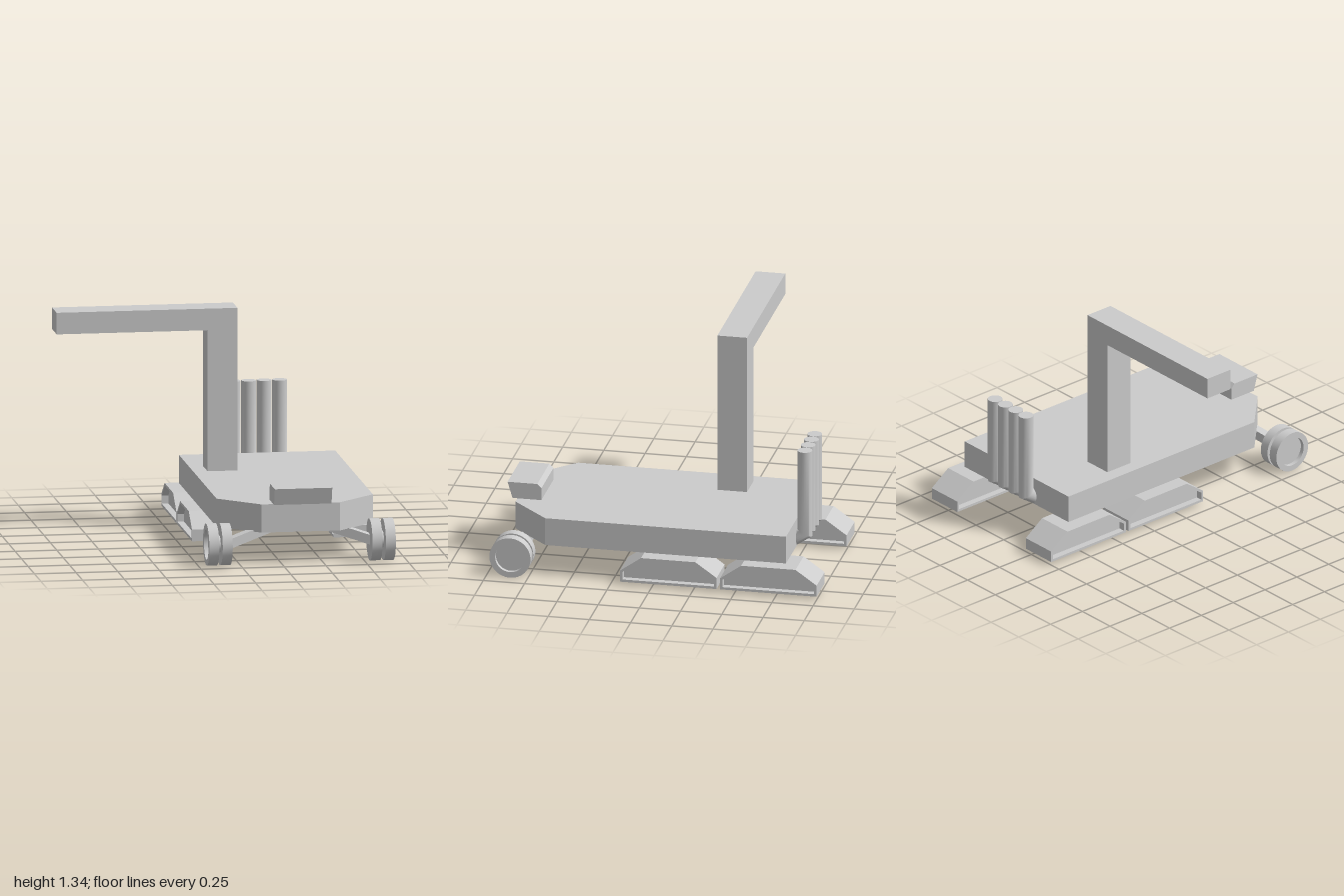
import * as THREE from 'three';
import { toCreasedNormals } from 'three/addons/utils/BufferGeometryUtils.js';

const MID = 0.365; // centre line of the chassis
const grey = new THREE.MeshStandardMaterial({ color: 0xcccccc });

function add(parent, name, geometry) {
  const mesh = new THREE.Mesh(geometry, grey);
  mesh.name = name;
  parent.add(mesh);
  return mesh;
}

// Box given by its limits on each axis
function box(x0, x1, y0, y1, z0, z1) {
  return new THREE.BoxGeometry(x1 - x0, y1 - y0, z1 - z0)
    .translate((x0 + x1) / 2, (y0 + y1) / 2, (z0 + z1) / 2);
}

const vectors = (pts) => pts.map(([a, b]) => new THREE.Vector2(a, b));

// Side profile of (z, y) points, extruded from x0 to x1
function profile(pts, x0, x1, hole) {
  const shape = new THREE.Shape(vectors(pts));
  if (hole) shape.holes.push(new THREE.Path(vectors(hole)));
  return new THREE.ExtrudeGeometry(shape, { depth: x1 - x0, bevelEnabled: false })
    .rotateY(-Math.PI / 2).translate(x1, 0, 0);
}

// Trapezoid track pod with a recessed panel on both sides
function makeTrack(name, x, z) {
  const track = new THREE.Group();
  track.name = name;
  const outer = [[-0.293, 0.02], [0.293, 0.02], [0.293, 0.09], [0.165, 0.18], [-0.165, 0.18], [-0.293, 0.09]];
  const inner = [[-0.278, 0.035], [0.278, 0.035], [0.278, 0.082], [0.16, 0.165], [-0.16, 0.165], [-0.278, 0.082]];
  add(track, 'trackFrame', profile(outer, -0.115, 0.115, inner));
  add(track, 'trackPanel', profile(inner, -0.075, 0.075));
  track.position.set(x, 0, z);
  return track;
}

// Twin wheel with a dished outer face; side is +1 for left, -1 for right
function makeWheel(name, side, x, z) {
  const wheel = new THREE.Group();
  wheel.name = name;
  const disc = (pts) => toCreasedNormals(
    new THREE.LatheGeometry(vectors(pts), 32).rotateZ(-Math.PI / 2), 0.6);
  add(wheel, 'outerDisc', disc([[0, 0.01], [0.125, 0.01], [0.125, 0.07], [0.09, 0.07], [0.09, 0.045], [0, 0.045]]));
  add(wheel, 'innerDisc', disc([[0, -0.07], [0.125, -0.07], [0.125, -0.01], [0, -0.01]]));
  add(wheel, 'hub', new THREE.CylinderGeometry(0.05, 0.05, 0.04, 24).rotateZ(Math.PI / 2));
  wheel.rotation.y = side > 0 ? 0 : Math.PI;
  wheel.position.set(x, 0.125, z);
  return wheel;
}

// Square bar between two points
function bar(parent, name, a, b, size) {
  const mesh = add(parent, name, new THREE.BoxGeometry(size, size, a.distanceTo(b)));
  mesh.position.copy(a).lerp(b, 0.5);
  mesh.lookAt(b);
}

// Upright pipe with a mitred elbow that runs forward into the chassis
function pipeGeometry() {
  const geo = new THREE.CylinderGeometry(0.044, 0.044, 1, 24, 2);
  const p = geo.attributes.position;
  for (let i = 0; i < p.count; i++) {
    const z = p.getZ(i), row = p.getY(i);
    const mitre = 0.272 + 0.535 * z;
    if (row > 0.25) p.setY(i, 0.79);
    else if (row > -0.25) p.setY(i, mitre);
    else {
      p.setY(i, mitre - 0.06);
      p.setZ(i, z + 0.091);
    }
  }
  return toCreasedNormals(geo, 0.6);
}

export function createModel() {
  const model = new THREE.Group();
  model.name = 'vehicle';

  // Chassis with two cut front corners
  const plan = [[-0.105, 0.8], [-0.105, -0.66], [0.13, -0.89], [0.6, -0.89], [0.833, -0.66], [0.833, 0.8]];
  add(model, 'chassis', new THREE.ExtrudeGeometry(new THREE.Shape(vectors(plan)),
    { depth: 0.17, bevelEnabled: false }).rotateX(-Math.PI / 2).translate(0, 0.19, 0));

  // Front console
  add(model, 'console', profile(
    [[0.745, 0.36], [0.92, 0.36], [0.95, 0.46], [0.77, 0.46], [0.745, 0.435]], 0.2, 0.545));

  // Mast and overhanging arm in one piece
  const crane = [[-0.02, 0.36], [0.16, 0.36], [0.16, 1.34], [-0.925, 1.34], [-0.925, 1.21], [-0.02, 1.21]];
  add(model, 'mastAndArm', new THREE.ExtrudeGeometry(new THREE.Shape(vectors(crane)),
    { depth: 0.18, bevelEnabled: false }).translate(0, 0, -0.42));

  // Row of exhaust pipes at the back
  const pipe = pipeGeometry();
  for (let i = 0; i < 4; i++) {
    add(model, 'exhaustPipe', pipe).position.set(0.227 + i * 0.093, 0, -0.845);
  }

  // Tracks, front wheels and struts on both sides
  for (const side of [1, -1]) {
    const label = side > 0 ? 'left' : 'right';
    const trackX = side > 0 ? 0.785 : -0.065;
    model.add(makeTrack(label + 'FrontTrack', trackX, -0.1));
    model.add(makeTrack(label + 'RearTrack', trackX, -0.707));
    const wheelX = side > 0 ? 0.852 : -0.13;
    const wheelZ = side > 0 ? 0.855 : 0.875;
    model.add(makeWheel(label + 'Wheel', side, wheelX, wheelZ));
    bar(model, label + 'Strut',
      new THREE.Vector3(wheelX - side * 0.05, 0.123, wheelZ),
      new THREE.Vector3(MID + side * 0.115, 0.222, wheelZ - 0.11), 0.056);
  }
  return model;
}
